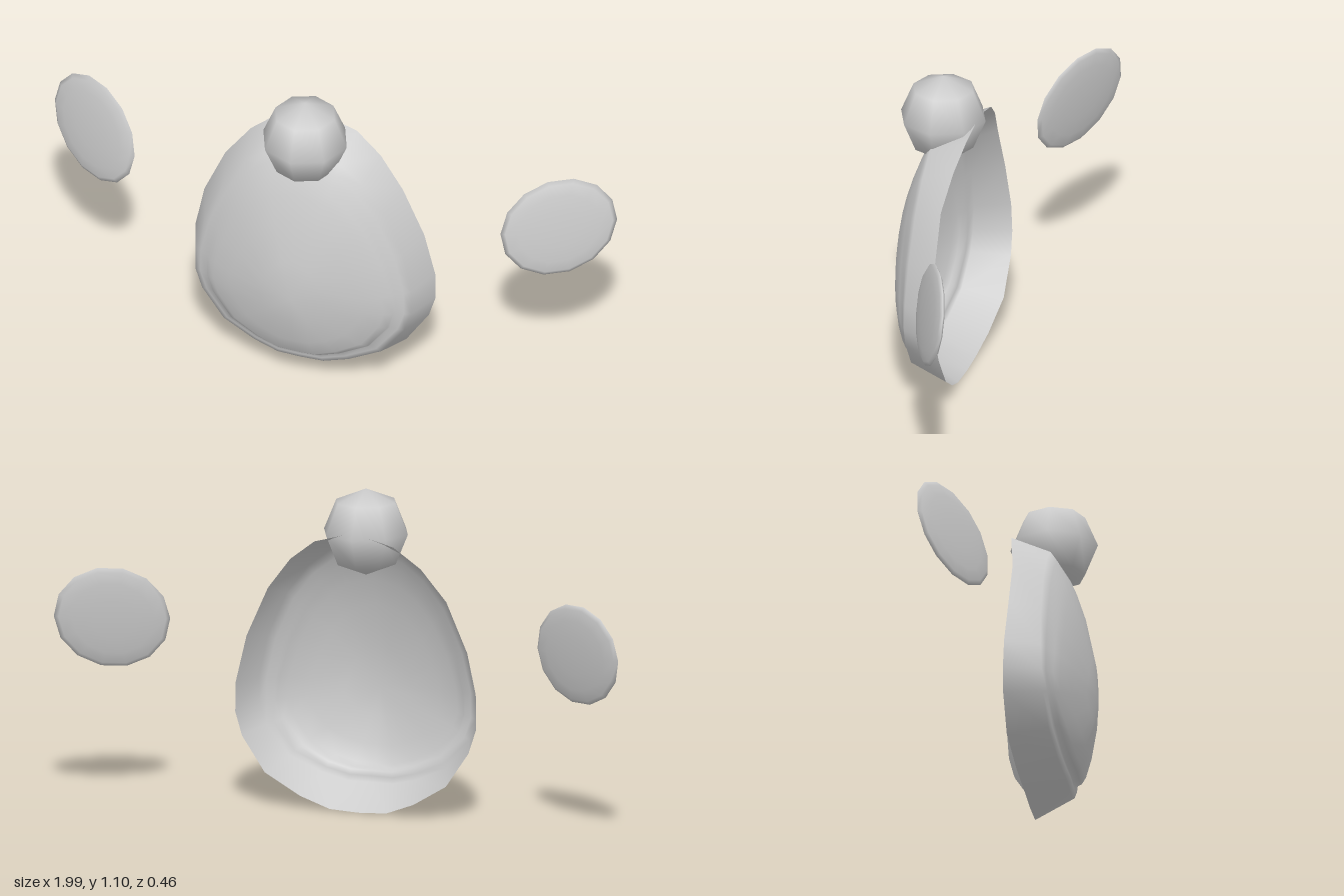
import * as THREE from 'three';

const material = new THREE.MeshStandardMaterial({ color: 0xcccccc, side: THREE.DoubleSide });

// Rim of the shell, bottom to top along +x: [x, y, z]
const RIM = [
  [0, 0, 0], [0.1, 0.005, 0], [0.2, 0.045, -0.012], [0.32, 0.12, -0.027], [0.4, 0.24, -0.027],
  [0.425, 0.32, -0.024], [0.425, 0.42, -0.02], [0.39, 0.58, -0.01], [0.315, 0.75, -0.008],
  [0.23, 0.86, -0.025], [0.14, 0.93, -0.04], [0, 0.97, -0.045],
];

// Profiles from rim to centre in three directions: [fraction of rim distance, z]
const DOWN = [[1, 0], [0.8, 0.13], [0.75, 0.14], [0.7, 0.137], [0.69, 0.16], [0.655, 0.177], [0.5, 0.2], [0.25, 0.222]];
const SIDE = [[1, -0.025], [0.9, 0.1], [0.85, 0.111], [0.79, 0.12], [0.775, 0.131], [0.71, 0.148], [0.55, 0.176], [0.28, 0.211]];
const UP = [[1, -0.045], [0.9, 0.09], [0.84, 0.112], [0.78, 0.13], [0.73, 0.143], [0.66, 0.16], [0.5, 0.19], [0.25, 0.22]];
const CENTRE_Y = 0.38;

// Open dished shell with a stepped lower belly
function shellGeometry() {
  const loop = [...RIM, ...RIM.slice(1, -1).reverse().map(([x, y, z]) => [-x, y, z])];
  const n = loop.length;
  const positions = [];
  const index = [];
  for (let r = 0; r < SIDE.length; r++) {
    loop.forEach(([x, y, rimZ], i) => {
      const dy = y - CENTRE_Y;
      const sine = Math.abs(dy) / Math.hypot(x, dy);
      const end = dy < 0 ? DOWN : UP;
      const w = dy < 0 ? sine ** 3 : Math.sqrt(sine);
      const s = THREE.MathUtils.lerp(SIDE[r][0], end[r][0], w);
      const z = r === 0 ? rimZ : THREE.MathUtils.lerp(SIDE[r][1], end[r][1], w);
      positions.push(x * s, CENTRE_Y + dy * s, z);
      const a = r * n + i;
      const b = r * n + (i + 1) % n;
      if (r < SIDE.length - 1) index.push(a, b, b + n, a, b + n, a + n);
      else index.push(a, b, SIDE.length * n);
    });
  }
  positions.push(0, CENTRE_Y, 0.23);
  const geometry = new THREE.BufferGeometry();
  geometry.setAttribute('position', new THREE.Float32BufferAttribute(positions, 3));
  geometry.setIndex(index);
  geometry.computeVertexNormals();
  return geometry;
}

function addMesh(group, name, geometry) {
  const mesh = new THREE.Mesh(geometry, material);
  mesh.name = name;
  group.add(mesh);
  return mesh;
}

export function createModel() {
  const group = new THREE.Group();
  group.name = 'model';

  addMesh(group, 'bodyShell', shellGeometry());

  // Low-poly ball at the top
  addMesh(group, 'topBall', new THREE.SphereGeometry(0.148, 8, 4)).position.set(0, 0.947, 0.083);

  // Thin oval side discs, angled back, leaning and slightly rolled
  for (const side of [1, -1]) {
    const geometry = new THREE.SphereGeometry(1, 14, 8).rotateX(Math.PI / 2).scale(0.202, 0.174, 0.022);
    const disc = addMesh(group, side > 0 ? 'leftDisc' : 'rightDisc', geometry);
    disc.position.set(side * 0.823, 0.638, -0.132);
    disc.rotation.set(-0.14, side * 0.475, side * 0.45, 'YXZ');
  }
  return group;
}
